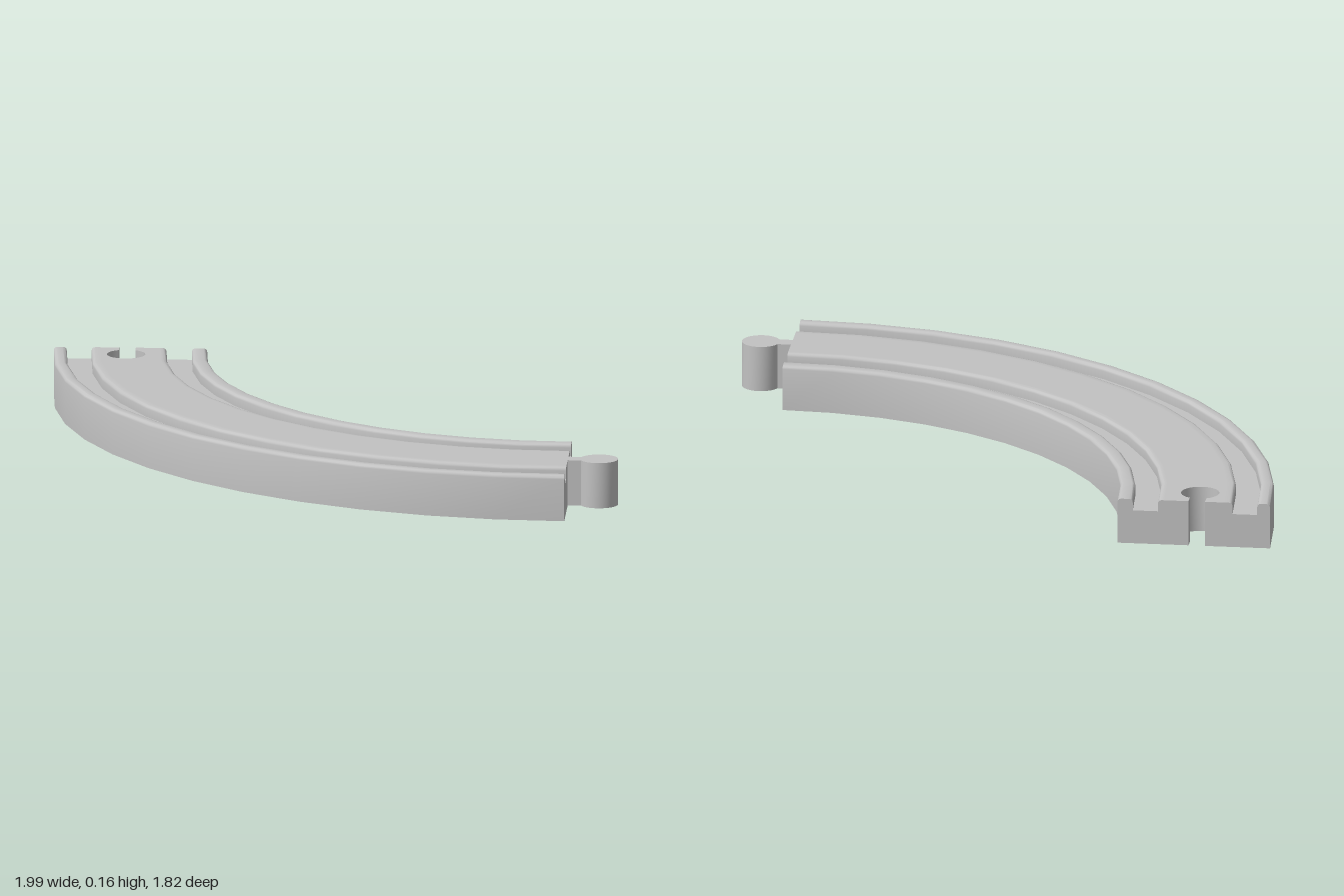
import * as THREE from 'three';
import { toCreasedNormals } from 'three/addons/utils/BufferGeometryUtils.js';

const CX = 0.83, CZ = -0.91;      // centre of the curve
const H = 0.157, GROOVE_Y = 0.117;
const STEPS = 12, R = 0.012;      // facets along the bend, edge rounding
const IN = 1.46, OUT = 1.66;      // radii of the centre strip

const grey = new THREE.MeshStandardMaterial({ color: 0xc2c2c2 });
grey.name = 'grey';

function addMesh(group, name, geometry) {
  const mesh = new THREE.Mesh(toCreasedNormals(geometry, 0.65), grey);
  mesh.name = name;
  group.add(mesh);
  return mesh;
}

// Point on the bend: angle 0 is the peg end, a quarter turn is the socket end
function onBend(r, t) {
  const a = t * Math.PI / 2;
  return [CX - r * Math.sin(a), CZ + r * Math.cos(a)];
}

// Adds a rounded top corner; 'rising' when the profile goes up into it
function roundCorner(pts, r, dir, rising) {
  for (let i = 0; i <= 3; i++) {
    const a = (rising ? i : 3 - i) / 3 * Math.PI / 2;
    pts.push(new THREE.Vector2(r + dir * R * (1 - Math.cos(a)), H - R + R * Math.sin(a)));
  }
}

// Cross-section with rail, wheel groove and the rounded shoulder of the centre strip
function railProfile(edge, railInner, shoulder, join) {
  const d = Math.sign(join - edge);
  const pts = [new THREE.Vector2(join, 0), new THREE.Vector2(edge, 0)];
  roundCorner(pts, edge, d, true);
  roundCorner(pts, railInner, -d, false);
  pts.push(new THREE.Vector2(railInner, GROOVE_Y), new THREE.Vector2(shoulder, GROOVE_Y));
  roundCorner(pts, shoulder, d, true);
  pts.push(new THREE.Vector2(join, H));
  return new THREE.Shape(pts);
}

// Straight extrusion bent around the curve centre
function bend(shape) {
  const g = new THREE.ExtrudeGeometry(shape, { depth: 1, steps: STEPS, bevelEnabled: false });
  const p = g.attributes.position;
  for (let i = 0; i < p.count; i++) {
    const [x, z] = onBend(p.getX(i), p.getZ(i));
    p.setXYZ(i, x, p.getY(i), z);
  }
  return g;
}

// Plan of the centre strip with the keyhole socket cut into its end
function centreStrip() {
  const pts = [];
  const add = (x, z) => pts.push(new THREE.Vector2(x, -z));
  for (let i = 0; i <= STEPS; i++) add(...onBend(OUT, i / STEPS));
  const sx = -0.74, sz = -0.813, r = 0.065, half = 0.028;
  const gap = Math.asin(half / r);
  add(sx - half, CZ);
  for (let i = 0; i <= 24; i++) {
    const a = gap + (2 * Math.PI - 2 * gap) * i / 24;
    add(sx - r * Math.sin(a), sz - r * Math.cos(a));
  }
  add(sx + half, CZ);
  for (let i = STEPS; i >= 0; i--) add(...onBend(IN, i / STEPS));
  const g = new THREE.ExtrudeGeometry(new THREE.Shape(pts), { depth: H, bevelEnabled: false });
  return g.rotateX(-Math.PI / 2);
}

export function createModel() {
  const group = new THREE.Group();
  group.name = 'curvedTrack';

  // Track body
  addMesh(group, 'innerRail', bend(railProfile(1.30, 1.352, 1.438, IN)));
  addMesh(group, 'outerRail', bend(railProfile(1.82, 1.776, 1.692, OUT)));
  addMesh(group, 'centreStrip', centreStrip());

  // Connecting peg
  const peg = new THREE.Group();
  peg.name = 'connectorPeg';
  addMesh(peg, 'pegHead', new THREE.CylinderGeometry(0.065, 0.065, H, 28))
    .position.set(0.935, H / 2, 0.65);
  addMesh(peg, 'pegNeck', new THREE.BoxGeometry(0.08, H, 0.052))
    .position.set(0.855, H / 2, 0.65);
  group.add(peg);

  return group;
}
